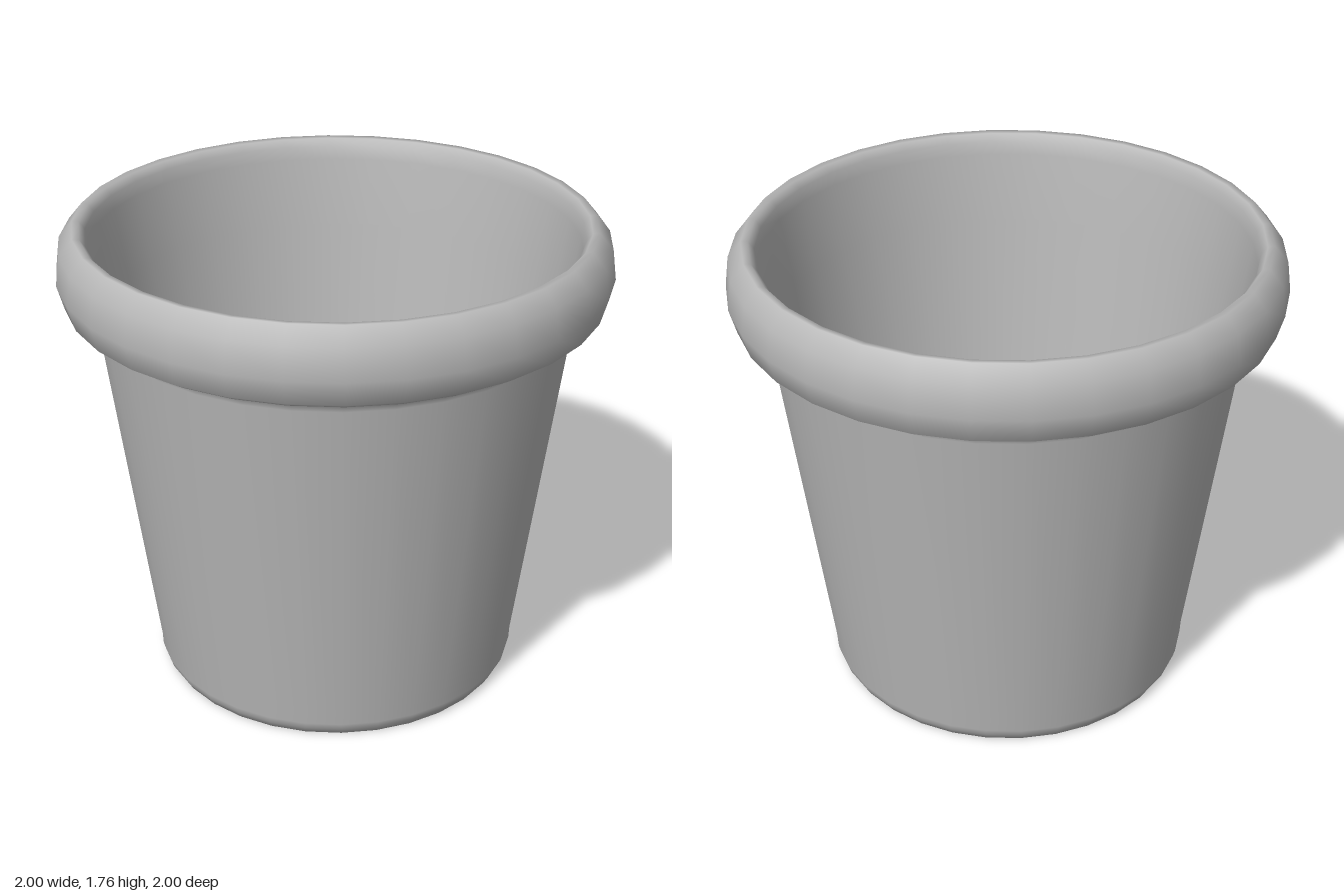
import * as THREE from 'three';

const SIDES = 32;

export function createModel() {
  const pot = new THREE.Group();
  pot.name = 'flowerPot';
  const grey = new THREE.MeshStandardMaterial({ color: 0xb8b8b8 });
  grey.name = 'plain grey';

  // Revolve a [radius, height] profile around the vertical axis
  const turn = (name, profile) => {
    const points = profile.map(([r, y]) => new THREE.Vector2(r, y));
    const mesh = new THREE.Mesh(new THREE.LatheGeometry(points, SIDES), grey);
    mesh.name = name;
    pot.add(mesh);
  };

  // Hollow underside, rising gently towards the drain hole
  turn('underside', [[0.07, 0.065], [0.625, 0.012]]);

  // Foot, outer wall, rolled rim, inner wall and floor as one smooth skin
  turn('shell', [
    [0.625, 0.012], [0.64, 0.002], [0.665, 0], [0.683, 0.03], [0.69, 0.055], [0.692, 0.1],
    [0.863, 1.42], [0.87, 1.445], [0.888, 1.462],
    [0.935, 1.475], [0.975, 1.5], [1, 1.59], [0.985, 1.7], [0.935, 1.76],
    [0.91, 1.757], [0.89, 1.73], [0.882, 1.68],
    [0.84, 1.42], [0.67, 0.14], [0.65, 0.105], [0.61, 0.1], [0.07, 0.095],
  ]);

  // Wall of the drain hole
  turn('drainHole', [[0.07, 0.095], [0.07, 0.065]]);

  return pot;
}
